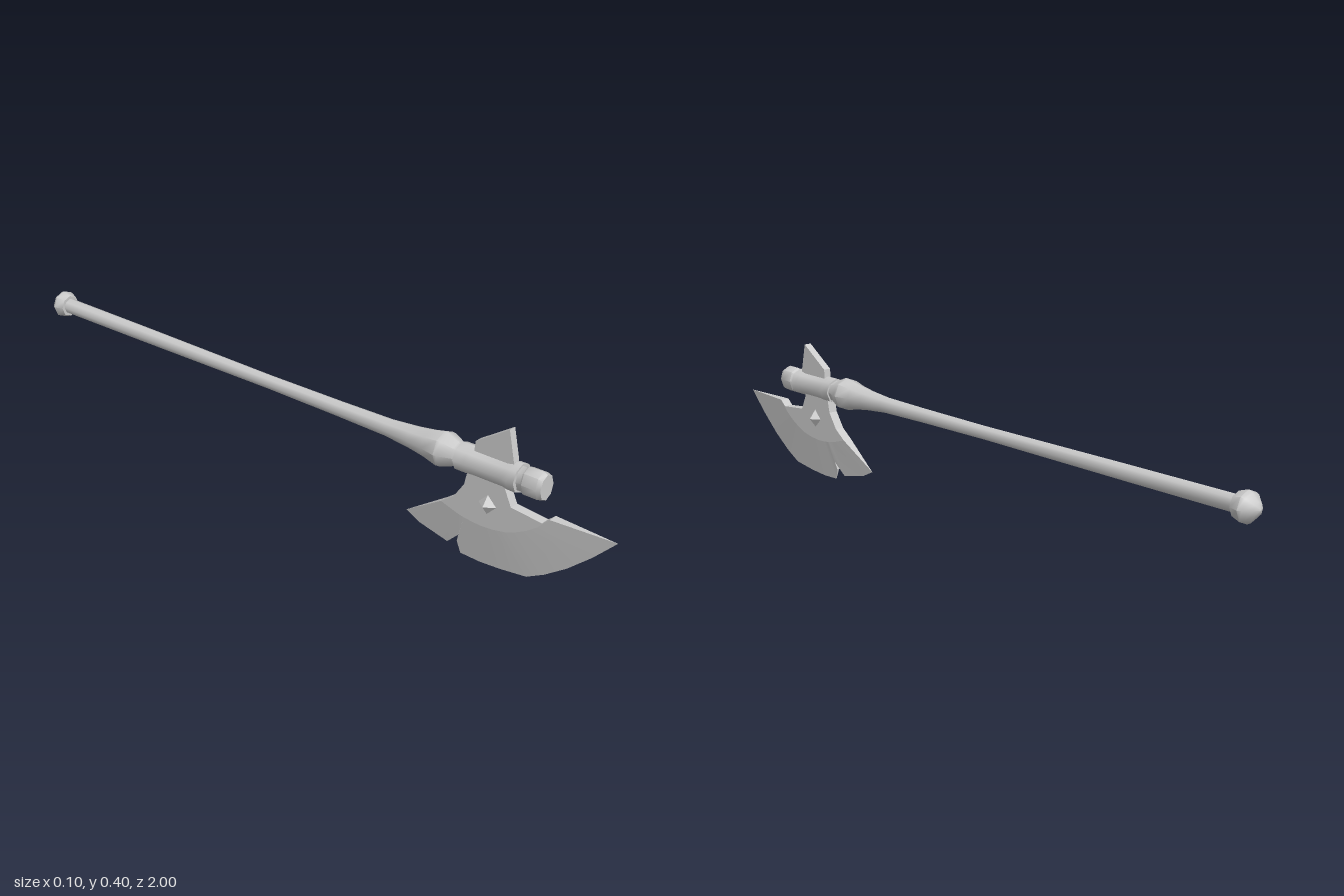
import * as THREE from 'three';
import { toCreasedNormals } from 'three/addons/utils/BufferGeometryUtils.js';

const AXIS_Y = 0.276;   // height of the shaft axis
const HALF = 0.0135;    // half thickness of the blade body

export function createModel() {
  const group = new THREE.Group();
  const material = new THREE.MeshStandardMaterial({ color: 0xcccccc });

  function add(name, geometry) {
    const mesh = new THREE.Mesh(geometry, material);
    mesh.name = name;
    group.add(mesh);
    return mesh;
  }

  // Eight-sided turned part along z; profile is [radius, z] with z rising
  function turned(name, profile, widthScale = 1) {
    const points = profile.map(([r, z]) => new THREE.Vector2(r, z));
    const geometry = new THREE.LatheGeometry(points, 8);
    geometry.rotateX(Math.PI / 2);
    geometry.scale(widthScale, 1, 1);
    geometry.translate(0, AXIS_Y, 0);
    return add(name, toCreasedNormals(geometry, 0.82));
  }

  // Flat plate in the z-y plane, centred on x = 0
  function plate(name, outline, half) {
    const shape = new THREE.Shape(outline.map(([z, y]) => new THREE.Vector2(z, y)));
    const geometry = new THREE.ExtrudeGeometry(shape, { depth: half * 2, bevelEnabled: false });
    geometry.translate(0, 0, -half);
    geometry.rotateY(-Math.PI / 2);
    return add(name, geometry);
  }

  // Handle
  turned('pommel', [[0, -0.998], [0.018, -0.99], [0.036, -0.972], [0.041, -0.962], [0.032, -0.935], [0, -0.935]]);
  turned('shaft', [[0.023, -0.95], [0.022, -0.6], [0.019, -0.1], [0.021, 0.15], [0.024, 0.32], [0.031, 0.4],
    [0.038, 0.45], [0.048, 0.495], [0.047, 0.505], [0.033, 0.54], [0.033, 0.57]]);

  // Head socket and end cap
  turned('collar', [[0, 0.548], [0.038, 0.548], [0.038, 0.58], [0.036, 0.6], [0.036, 0.69], [0.039, 0.705], [0.039, 0.727], [0, 0.727]]);
  turned('endCap', [[0.034, 0.715], [0.034, 0.74], [0.039, 0.745], [0.039, 0.785], [0.034, 0.797], [0, 0.797]], 0.82);

  // Back spike
  plate('backSpike', [[0.71, 0.27], [0.59, 0.27], [0.595, 0.335], [0.69, 0.397], [0.708, 0.315]], 0.011);

  // Bevel sections: rim z, rim y, rim half thickness, ridge z, ridge y
  const sections = [
    [0.997, 0.203, 0, 0.82, 0.203],
    [0.935, 0.14, 0, 0.79, 0.172],
    [0.87, 0.083, 0, 0.76, 0.15],
    [0.81, 0.041, 0, 0.73, 0.134],
    [0.76, 0.014, 0, 0.70, 0.122],
    [0.68, 0.004, 0, 0.665, 0.115],
    [0.62, 0, 0, 0.63, 0.112],
    [0.561, 0.002, 0, 0.60, 0.113],
    [0.551, 0.035, 0.004, 0.585, 0.115],
    [0.557, 0.056, 0.007, 0.575, 0.116],
    [0.519, 0.019, 0, 0.555, 0.12],
    [0.428, 0.04, 0, 0.525, 0.129],
    [0.385, 0.061, 0, 0.503, 0.136],
  ];

  // Blade body: neck outline closed by the ridge of the bevel
  plate('bladeBody', [
    [0.503, 0.136], [0.54, 0.163], [0.57, 0.208], [0.583, 0.27],
    [0.695, 0.27], [0.69, 0.238], [0.71, 0.195], [0.8, 0.186],
    ...sections.slice(0, -1).map((s) => [s[3], s[4]]),
  ], HALF);

  // Bevelled cutting edge lofted through the sections
  const positions = [];
  const index = [];
  for (const [z, y, t, ridgeZ, ridgeY] of sections) {
    positions.push(HALF, ridgeY, ridgeZ, t, y, z, -t, y, z, -HALF, ridgeY, ridgeZ);
  }
  for (let j = 0; j < sections.length - 1; j++) {
    for (let k = 0; k < 3; k++) {
      const a = j * 4 + k;
      index.push(a, a + 1, a + 5, a, a + 5, a + 4);
    }
  }
  const last = (sections.length - 1) * 4;
  index.push(0, 2, 1, 0, 3, 2, last, last + 1, last + 2, last, last + 2, last + 3);
  const edge = new THREE.BufferGeometry();
  edge.setAttribute('position', new THREE.Float32BufferAttribute(positions, 3));
  edge.setIndex(index);
  add('cuttingEdge', toCreasedNormals(edge, 0.4));

  // Pointed diamond stud on each face of the blade
  for (const side of [1, -1]) {
    const stud = new THREE.ConeGeometry(0.027, 0.021, 4);
    stud.rotateZ(-side * Math.PI / 2);
    const mesh = add(side > 0 ? 'leftStud' : 'rightStud', toCreasedNormals(stud, 0.1));
    mesh.position.set(side * 0.0235, 0.178, 0.642);
  }

  return group;
}
